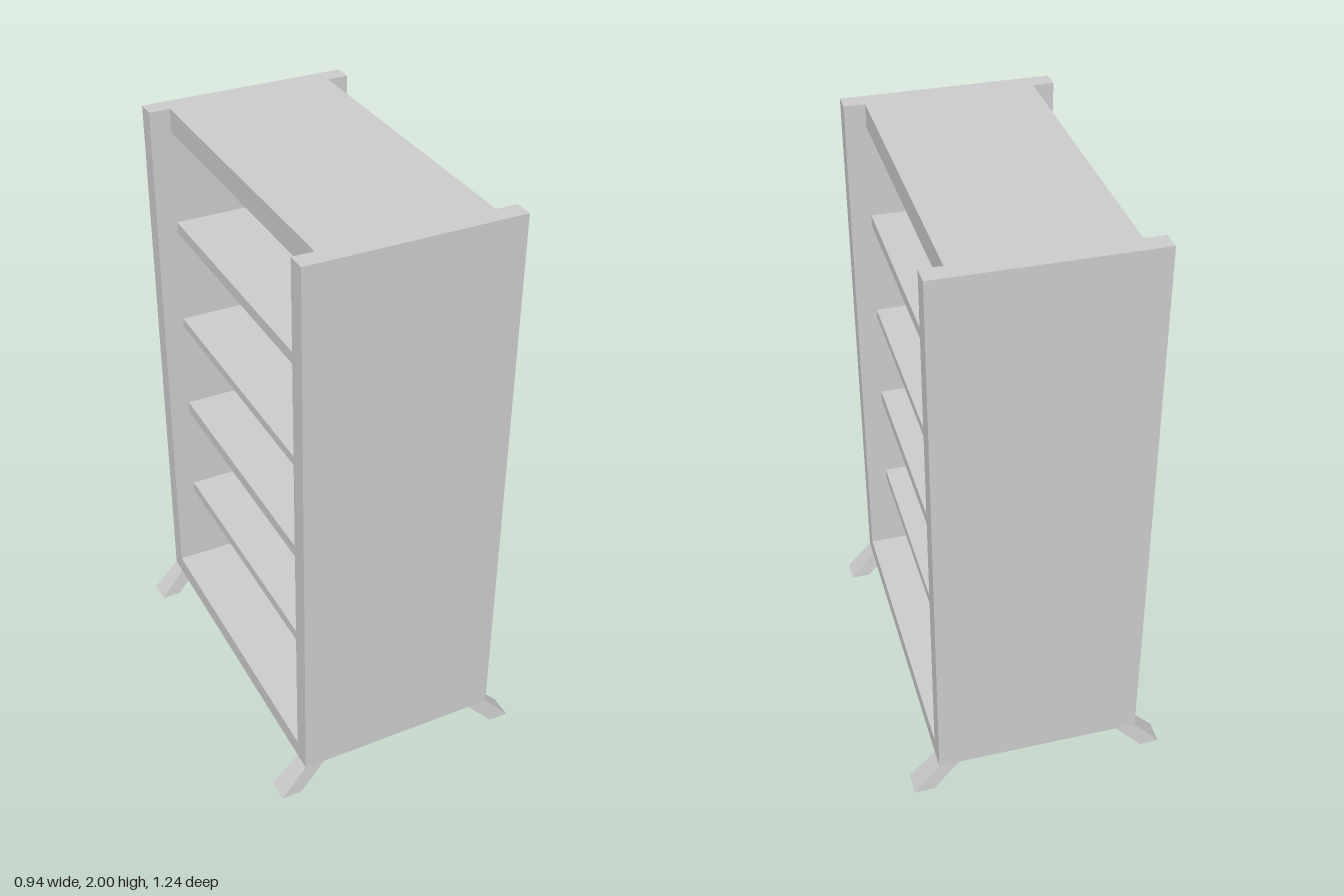
import * as THREE from 'three';

const material = new THREE.MeshStandardMaterial({ color: 0xcccccc });

// Box given by its ranges on each axis
function slab(name, [x0, x1], [y0, y1], [z0, z1]) {
  const mesh = new THREE.Mesh(new THREE.BoxGeometry(x1 - x0, y1 - y0, z1 - z0), material);
  mesh.position.set((x0 + x1) / 2, (y0 + y1) / 2, (z0 + z1) / 2);
  mesh.name = name;
  return mesh;
}

// Splayed foot: a box whose lower end is pushed outward and slightly widened
function foot(name, sx, sz) {
  const geometry = new THREE.BoxGeometry(1, 1, 1);
  const p = geometry.attributes.position;
  for (let i = 0; i < p.count; i++) {
    const low = p.getY(i) < 0;
    const outX = p.getX(i) * sx > 0;
    const outZ = p.getZ(i) * sz > 0;
    const x = low ? (outX ? 0.44 : 0.372) : (outX ? 0.35 : 0.28);
    const z = low ? (outZ ? 0.598 : 0.518) : (outZ ? 0.59 : 0.527);
    p.setXYZ(i, sx * x, low ? 0 : 0.1, sz * z);
  }
  geometry.computeVertexNormals();
  const mesh = new THREE.Mesh(geometry, material);
  mesh.name = name;
  return mesh;
}

export function createModel() {
  const group = new THREE.Group();
  group.name = 'bookcase';
  const halfDepth = 0.35, recess = 0.28, inner = 0.527, outer = 0.59;

  // End panels
  group.add(slab('frontPanel', [-halfDepth, halfDepth], [0.1, 2], [inner, outer]));
  group.add(slab('backPanel', [-halfDepth, halfDepth], [0.1, 2], [-outer, -inner]));

  // Bottom is flush with the panels, top is set back
  group.add(slab('bottomBoard', [-halfDepth, halfDepth], [0.1, 0.163], [-inner, inner]));
  group.add(slab('topBoard', [-recess, recess], [1.92, 2], [-inner, inner]));

  // Shelves
  [[0.472, 0.51], [0.833, 0.875], [1.195, 1.227], [1.56, 1.6]].forEach((range, i) => {
    group.add(slab(`shelf${i + 1}`, [-recess, recess], range, [-inner, inner]));
  });

  // Feet at the four corners
  for (const sx of [-1, 1]) {
    for (const sz of [-1, 1]) {
      group.add(foot(`${sz > 0 ? 'front' : 'back'}${sx > 0 ? 'Left' : 'Right'}Foot`, sx, sz));
    }
  }

  // The whole case stands slightly turned
  group.rotation.y = -0.05;
  const model = new THREE.Group();
  model.add(group);
  return model;
}
